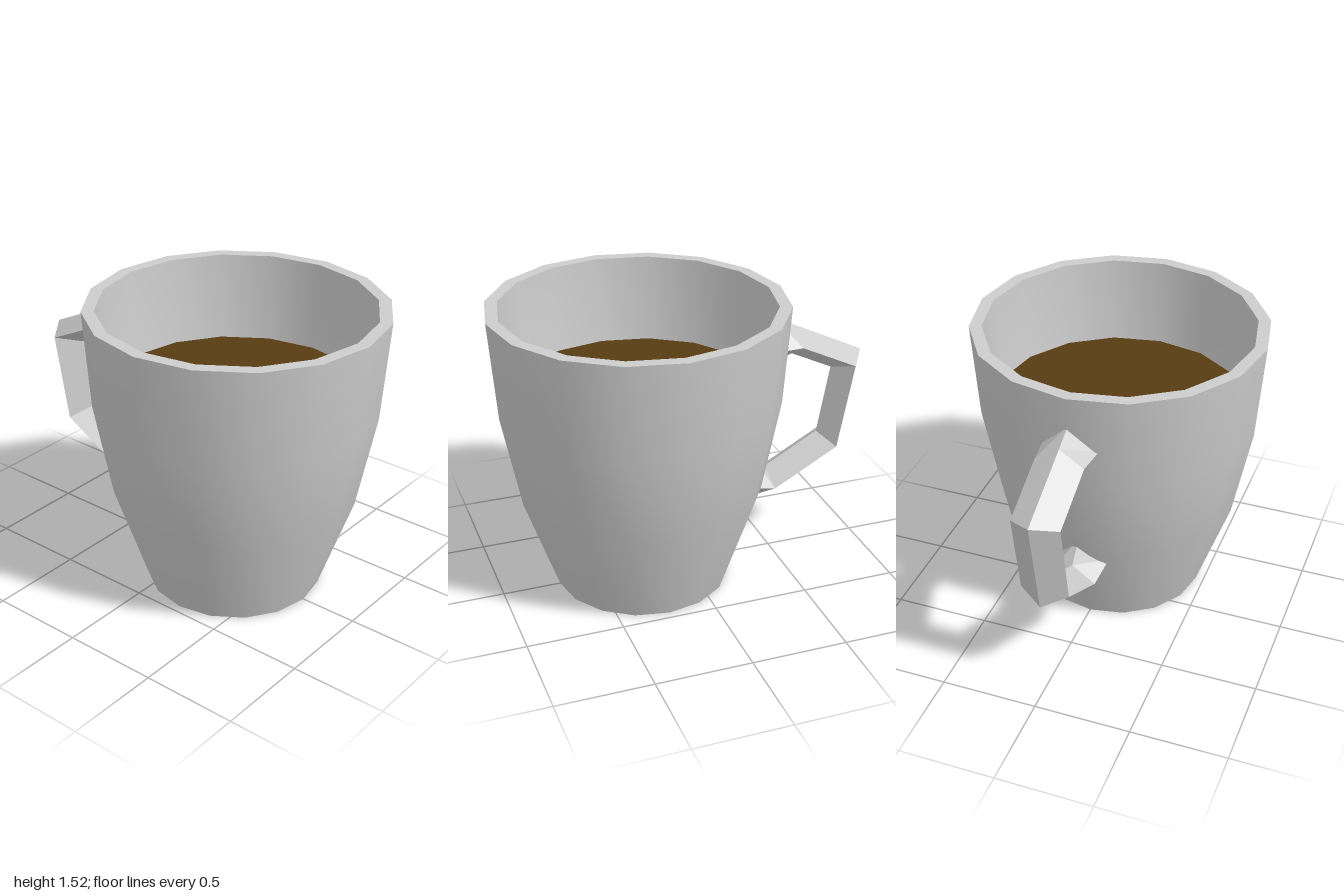
import * as THREE from 'three';

const SIDES = 16;
const CENTRE_Z = 0.238;

export function createModel() {
  const model = new THREE.Group();
  model.name = 'mug';

  const ceramic = new THREE.MeshStandardMaterial({ color: 0xcccccc });
  ceramic.name = 'grey ceramic';
  const coffee = new THREE.MeshStandardMaterial({ color: 0x573c12 });
  coffee.name = 'brown coffee';

  // Turned parts share the cup's axis; each has its own profile so edges between them stay sharp
  const cup = new THREE.Group();
  cup.name = 'cup';
  cup.position.z = CENTRE_Z;
  model.add(cup);

  function turned(name, profile, material) {
    const points = profile.map(([r, y]) => new THREE.Vector2(r, y));
    const mesh = new THREE.Mesh(new THREE.LatheGeometry(points, SIDES), material);
    mesh.name = name;
    cup.add(mesh);
  }

  turned('base', [[0, 0], [0.457, 0]], ceramic);
  turned('outerWall', [[0.457, 0], [0.63, 0.51], [0.725, 1.01], [0.762, 1.525]], ceramic);
  turned('rim', [[0.762, 1.525], [0.698, 1.525]], ceramic);
  turned('innerWall', [[0.698, 1.525], [0.66, 1.01], [0.57, 0.53], [0.42, 0.06]], ceramic);
  turned('innerFloor', [[0.42, 0.06], [0, 0.06]], ceramic);
  turned('coffeeSurface', [[0.663, 1.065], [0, 1.065]], coffee);

  // Handle: diamond sections from top to bottom, as [z, y] of outer ridge, side ridges and inner ridge
  const sections = [
    { outer: [-0.49, 1.36], side: [-0.455, 1.222], inner: [-0.465, 1.08], halfWidth: 0.143 },
    { outer: [-0.61, 1.30], side: [-0.61, 1.217], inner: [-0.6, 1.14], halfWidth: 0.125 },
    { outer: [-1.0, 1.11], side: [-0.915, 1.07], inner: [-0.83, 1.03], halfWidth: 0.125 },
    { outer: [-0.892, 0.562], side: [-0.828, 0.612], inner: [-0.762, 0.66], halfWidth: 0.125 },
    { outer: [-0.49, 0.34], side: [-0.478, 0.42], inner: [-0.468, 0.498], halfWidth: 0.125 },
    { outer: [-0.3, 0.312], side: [-0.315, 0.461], inner: [-0.372, 0.6], halfWidth: 0.143 },
  ];
  const rings = sections.map(({ outer, side, inner, halfWidth }) => [
    [0, outer[1], outer[0]],
    [halfWidth, side[1], side[0]],
    [0, inner[1], inner[0]],
    [-halfWidth, side[1], side[0]],
  ]);
  const positions = [];
  for (let i = 0; i < rings.length - 1; i++) {
    for (let j = 0; j < 4; j++) {
      const k = (j + 1) % 4;
      const a = rings[i][j], b = rings[i][k], c = rings[i + 1][k], d = rings[i + 1][j];
      positions.push(...a, ...b, ...c, ...a, ...c, ...d);
    }
  }
  const handleGeometry = new THREE.BufferGeometry();
  handleGeometry.setAttribute('position', new THREE.Float32BufferAttribute(positions, 3));
  handleGeometry.computeVertexNormals(); // unshared corners give flat facets
  const handle = new THREE.Mesh(handleGeometry, ceramic);
  handle.name = 'handle';
  model.add(handle);

  return model;
}
